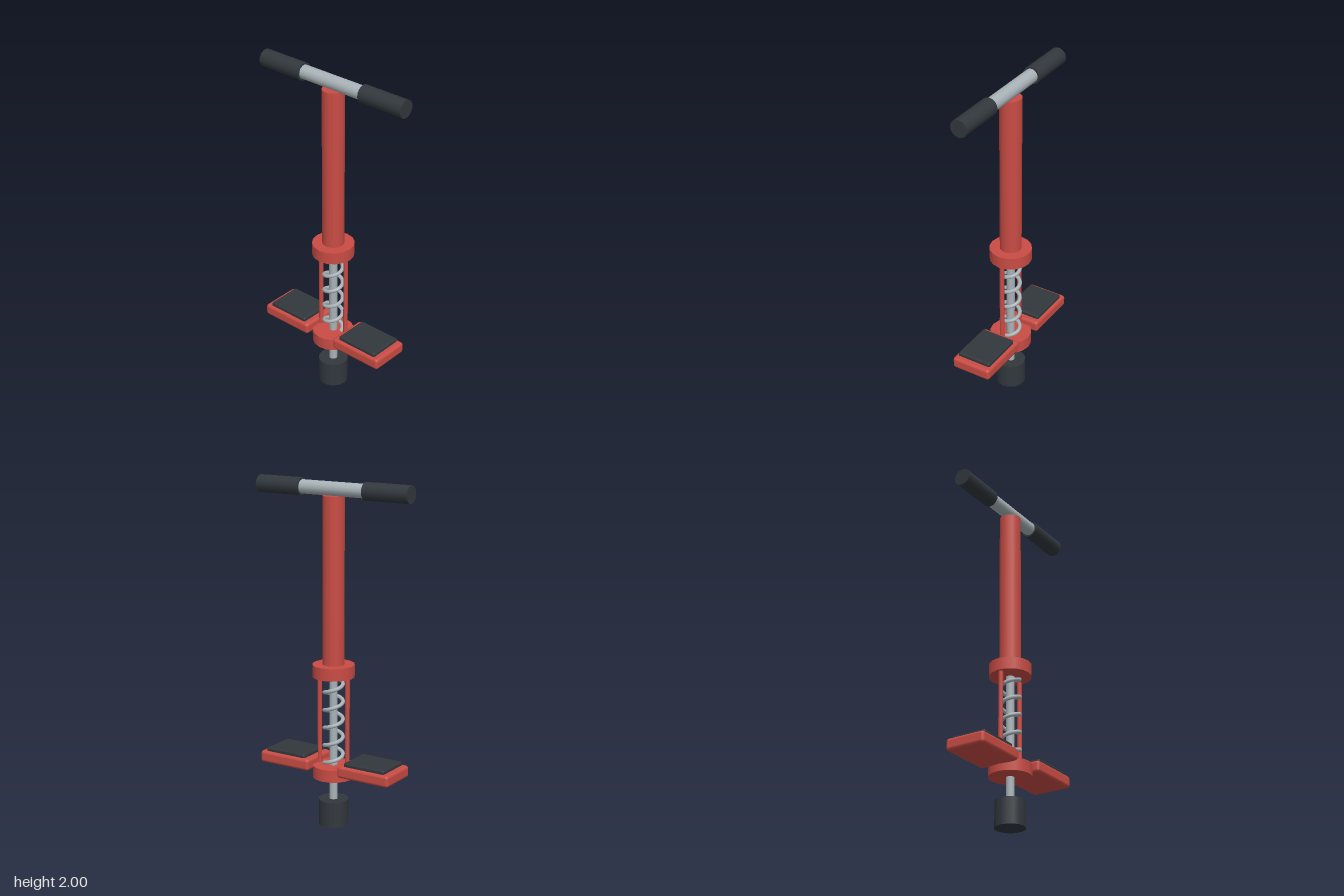
import * as THREE from 'three';
import { RoundedBoxGeometry } from 'three/addons/geometries/RoundedBoxGeometry.js';

export function createModel() {
  const model = new THREE.Group();
  model.name = 'pogoStick';

  const material = (name, color) => {
    const m = new THREE.MeshStandardMaterial({ color });
    m.name = name;
    return m;
  };
  const red = material('red paint', 0xc94c44);
  const steel = material('steel', 0xa9b3b7);
  const rubber = material('dark rubber', 0x32383d);

  const add = (name, geometry, mat, x = 0, y = 0, z = 0) => {
    const mesh = new THREE.Mesh(geometry, mat);
    mesh.name = name;
    mesh.position.set(x, y, z);
    model.add(mesh);
    return mesh;
  };

  // Upright cylinder between two heights
  const post = (name, radius, y0, y1, mat, x = 0, sides = 16) =>
    add(name, new THREE.CylinderGeometry(radius, radius, y1 - y0, sides), mat, x, (y0 + y1) / 2);

  // Horizontal cylinder along x
  const bar = (name, radius, x0, x1, y, mat) => {
    const mesh = add(name, new THREE.CylinderGeometry(radius, radius, x1 - x0, 16), mat, (x0 + x1) / 2, y);
    mesh.rotation.z = Math.PI / 2;
  };

  // Central column
  post('foot', 0.087, 0, 0.153, rubber);
  post('plungerShaft', 0.024, 0.15, 0.9, steel);
  post('lowerCollar', 0.122, 0.288, 0.36, red);
  post('upperCollar', 0.122, 0.885, 0.957, red);
  post('mainTube', 0.063, 0.95, 1.912, red);

  // Coil spring around the shaft
  class Helix extends THREE.Curve {
    getPoint(t, target = new THREE.Vector3()) {
      const a = t * 5 * Math.PI * 2;
      return target.set(0.054 * Math.cos(a), 0.36 + 0.525 * t, -0.054 * Math.sin(a));
    }
  }
  add('spring', new THREE.TubeGeometry(new Helix(), 140, 0.0115, 8, false), steel);

  // Handlebar
  bar('handlebar', 0.04, -0.25, 0.25, 1.949, steel);

  // Mirrored grips, guide rods and footrests
  for (const s of [-1, 1]) {
    const side = s > 0 ? 'left' : 'right';
    bar(side + 'Grip', 0.051, s > 0 ? 0.208 : -0.492, s > 0 ? 0.492 : -0.208, 1.949, rubber);
    post(side + 'GuideRod', 0.0135, 0.34, 0.9, red, s * 0.094, 10);
    add(side + 'Footrest', new RoundedBoxGeometry(0.336, 0.07, 0.244, 2, 0.018), red, s * 0.266, 0.364);
    add(side + 'FootPad', new RoundedBoxGeometry(0.264, 0.03, 0.21, 2, 0.009), rubber, s * 0.266, 0.405);
  }

  return model;
}
